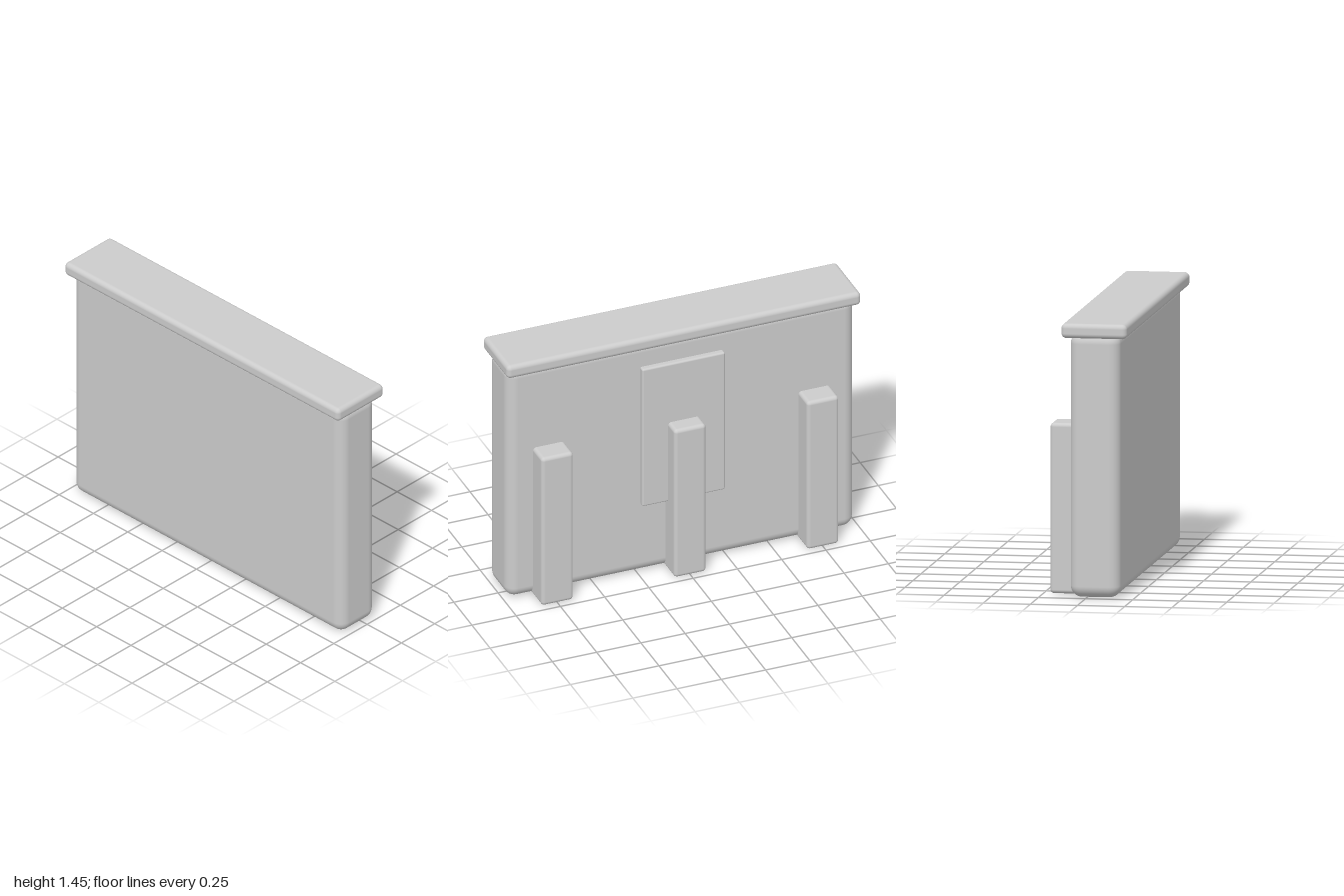
import * as THREE from 'three';
import { RoundedBoxGeometry } from 'three/addons/geometries/RoundedBoxGeometry.js';

export function createModel() {
  const model = new THREE.Group();
  model.name = 'buttressedWall';
  const stone = new THREE.MeshStandardMaterial({ color: 0xcccccc });
  stone.name = 'paleStone';

  // Rounded block given by its extents on each axis
  function block(name, [x0, x1], [y0, y1], [z0, z1], radius) {
    const geometry = new RoundedBoxGeometry(x1 - x0, y1 - y0, z1 - z0, 5, radius);
    const mesh = new THREE.Mesh(geometry, stone);
    mesh.position.set((x0 + x1) / 2, (y0 + y1) / 2, (z0 + z1) / 2);
    mesh.name = name;
    model.add(mesh);
  }

  // Wall slab and its overhanging coping
  block('wall', [-0.175, 0.09], [0, 1.4], [-0.982, 0.982], 0.06);
  block('coping', [-0.217, 0.131], [1.372, 1.449], [-1, 1], 0.025);

  // Shallow raised panel
  block('panel', [0.05, 0.122], [0.418, 1.255], [-0.234, 0.234], 0.01);

  // Three buttresses along the left face
  for (const z of [-0.75, 0, 0.75]) {
    block('buttress', [0.03, 0.215], [0, 0.9], [z - 0.09, z + 0.09], 0.02);
  }
  return model;
}
